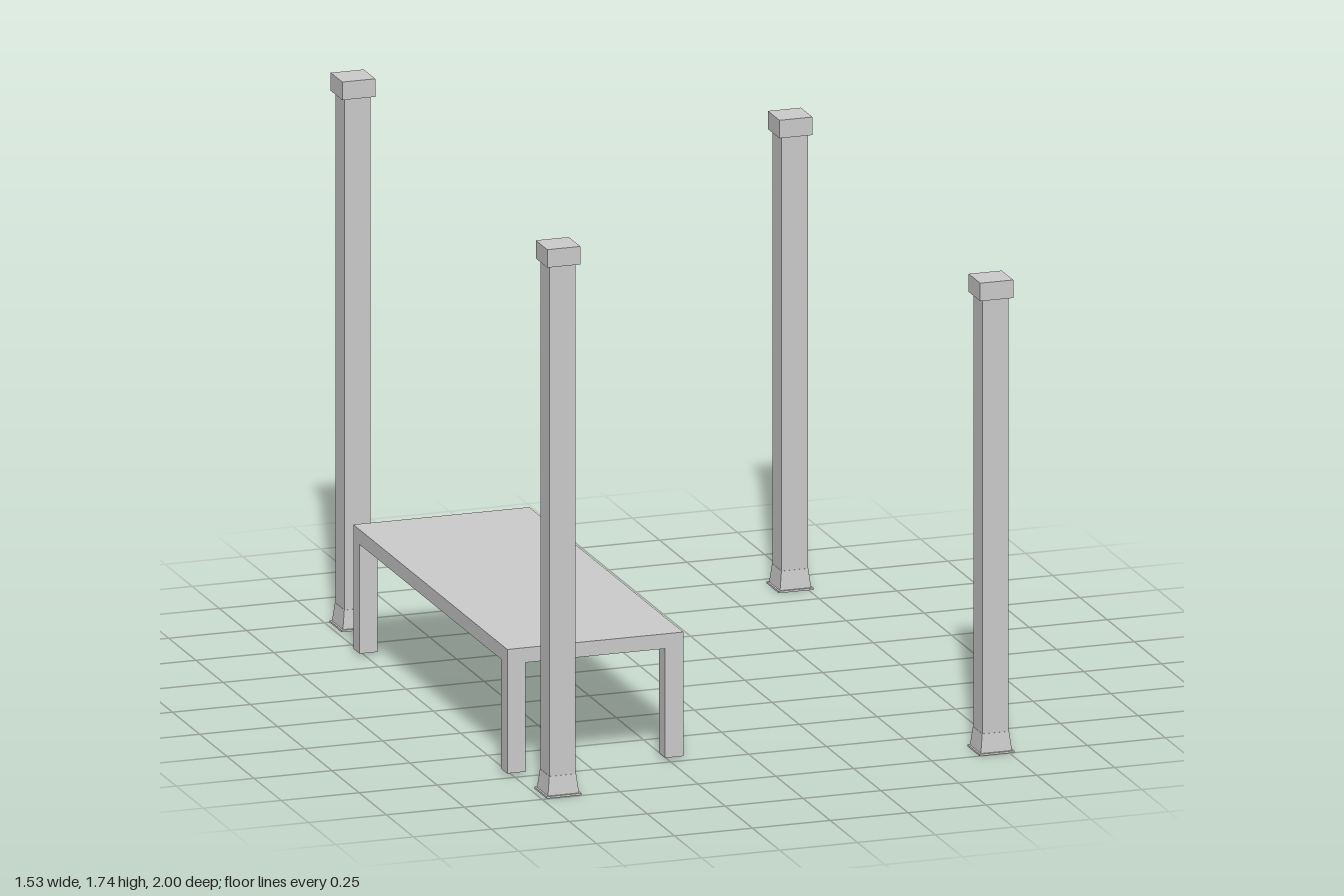
import * as THREE from 'three';

const material = new THREE.MeshStandardMaterial({ color: 0xcccccc, flatShading: true });

function addMesh(parent, name, geometry, x, y, z) {
  const mesh = new THREE.Mesh(geometry, material);
  mesh.name = name;
  mesh.position.set(x, y, z);
  parent.add(mesh);
}

// Box given by its bottom and top heights
function addBox(parent, name, w, d, bottom, top, x = 0, z = 0) {
  addMesh(parent, name, new THREE.BoxGeometry(w, top - bottom, d), x, (bottom + top) / 2, z);
}

// Square post with a base plate, flared skirt, shaft and overhanging cap
function createPost(name, x, z, height) {
  const post = new THREE.Group();
  post.name = name;
  post.position.set(x, 0, z);
  const plateTop = 0.006, skirtTop = 0.065, capBottom = height - 0.057;
  addBox(post, 'basePlate', 0.112, 0.112, 0, plateTop);
  const skirt = new THREE.CylinderGeometry(0.086 / Math.SQRT2, 0.1 / Math.SQRT2, skirtTop - plateTop, 4);
  skirt.rotateY(Math.PI / 4);
  addMesh(post, 'flaredSkirt', skirt, 0, (plateTop + skirtTop) / 2, 0);
  addBox(post, 'shaft', 0.084, 0.084, plateTop, capBottom);
  addBox(post, 'cap', 0.106, 0.106, capBottom, height);
  return post;
}

// Long low table with four legs flush to its corners
function createTable() {
  const table = new THREE.Group();
  table.name = 'table';
  const width = 0.565, length = 1.415, leg = 0.058;
  table.position.set(-0.485, 0, 0.022);
  addBox(table, 'tableTop', width, length, 0.353, 0.4);
  for (const sx of [-1, 1]) {
    for (const sz of [-1, 1]) {
      const name = (sz > 0 ? 'front' : 'back') + (sx > 0 ? 'Left' : 'Right') + 'Leg';
      addBox(table, name, leg, leg, 0.008, 0.353, sx * (width - leg) / 2, sz * (length - leg) / 2);
    }
  }
  return table;
}

export function createModel() {
  const model = new THREE.Group();
  model.name = 'tableAndPosts';
  model.add(
    createTable(),
    createPost('frontRightPost', -0.678, 0.94, 1.733),
    createPost('backRightPost', -0.678, -0.944, 1.737),
    createPost('frontLeftPost', 0.71, 0.944, 1.493),
    createPost('backLeftPost', 0.71, -0.901, 1.493),
  );
  return model;
}
